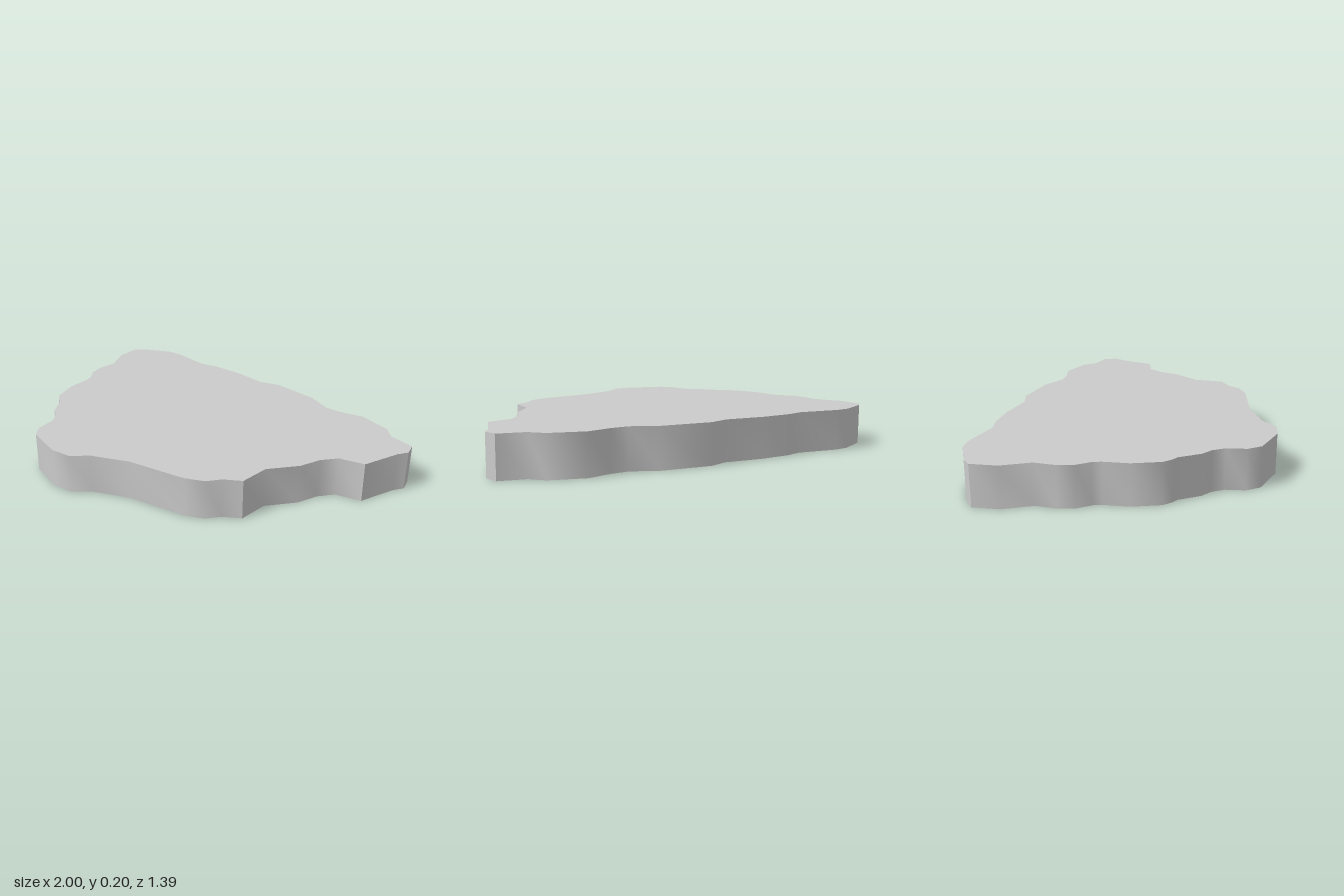
import * as THREE from 'three';
import { toCreasedNormals } from 'three/addons/utils/BufferGeometryUtils.js';

const THICKNESS = 0.2;

// Irregular outline as x, z pairs, starting at the back right corner
const OUTLINE = [
  // back edge
  -1, -0.54, -0.96, -0.58, -0.81, -0.66, -0.73, -0.67, -0.52, -0.645, -0.43, -0.67,
  -0.27, -0.68, -0.07, -0.665, 0.03, -0.7, 0.28, -0.68, 0.41, -0.625, 0.5, -0.63,
  0.62, -0.66, 0.79, -0.615, 0.85, -0.555, 0.98, -0.53,
  // left edge
  1, -0.46, 0.97, -0.41, 0.91, -0.215, 0.785, -0.18, 0.73, -0.105, 0.695, 0.005,
  0.595, 0.14, 0.59, 0.295,
  // front edge
  0.51, 0.35, 0.465, 0.415, 0.375, 0.46, 0.08, 0.52, -0.1, 0.605, -0.18, 0.68,
  -0.285, 0.695, -0.48, 0.645, -0.53, 0.585,
  // right edge
  -0.545, 0.49, -0.585, 0.435, -0.64, 0.4, -0.71, 0.305, -0.74, 0.29, -0.78, 0.255,
  -0.83, 0.125, -0.84, 0, -0.855, -0.04, -0.905, -0.1, -0.925, -0.175, -0.92, -0.28,
  -0.99, -0.41,
];

export function createModel() {
  const group = new THREE.Group();
  group.name = 'stoneSlab';

  const points = [];
  for (let i = 0; i < OUTLINE.length; i += 2) {
    points.push(new THREE.Vector2(OUTLINE[i], OUTLINE[i + 1]));
  }

  // Slab: extruded outline laid flat, rim smooth except at sharp corners
  const geometry = new THREE.ExtrudeGeometry(new THREE.Shape(points), {
    depth: THICKNESS,
    bevelEnabled: false,
  });
  geometry.rotateX(Math.PI / 2);
  geometry.translate(0, THICKNESS, 0);

  const slab = new THREE.Mesh(
    toCreasedNormals(geometry, THREE.MathUtils.degToRad(42)),
    new THREE.MeshStandardMaterial({ color: 0xcccccc }),
  );
  slab.name = 'slab';
  group.add(slab);
  return group;
}
